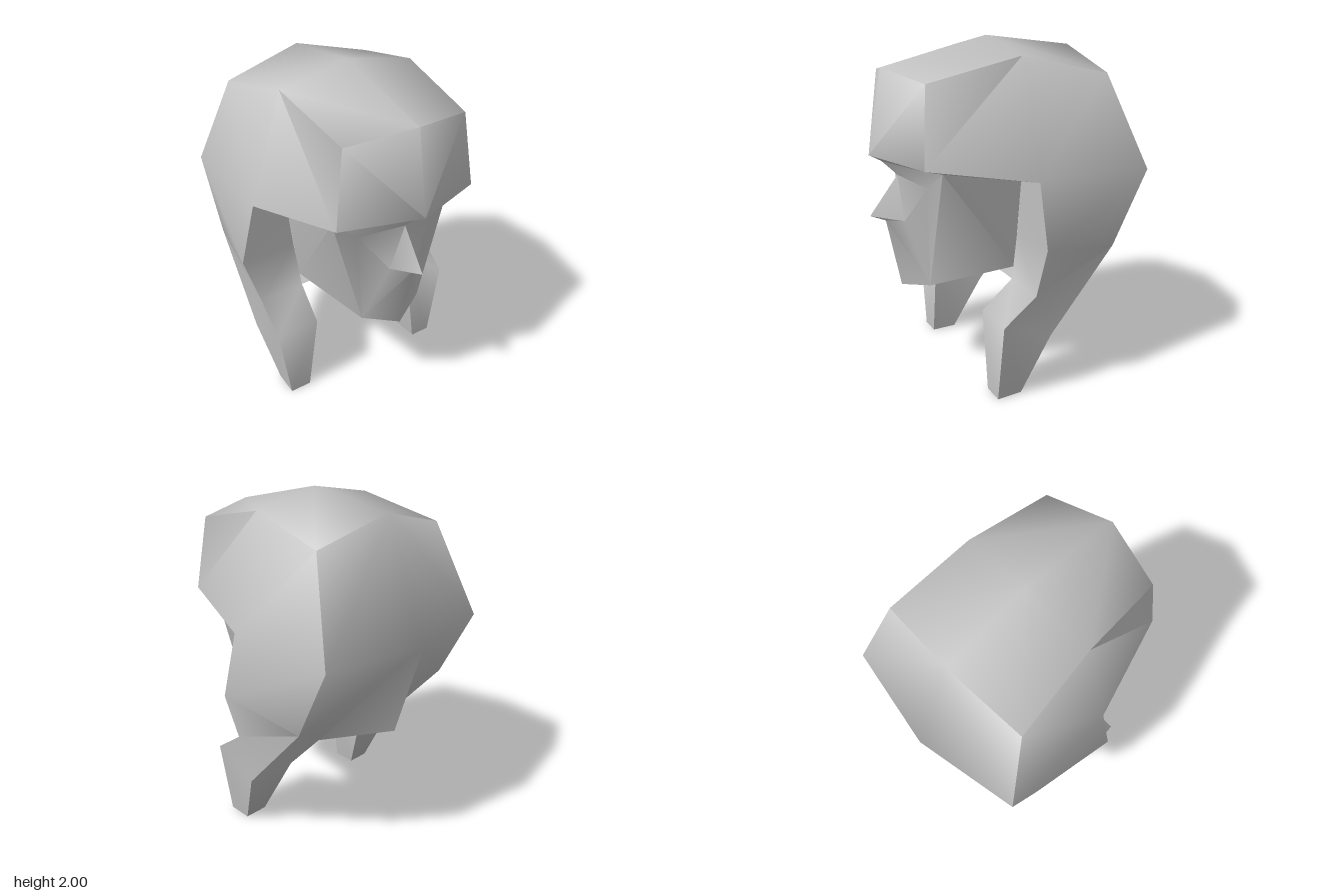
import * as THREE from 'three';
import { toCreasedNormals } from 'three/addons/utils/BufferGeometryUtils.js';

const grey = new THREE.MeshStandardMaterial({ color: 0xc0c0c0, side: THREE.DoubleSide });
grey.name = 'plain grey';

// Hair: c = centre line, s = side ridge, e = outer edge, i = inner edge
const hairPoints = {
  c0: [0, 1.38, 0.77], c1: [0, 1.85, 0.68], c2: [0, 2.0, 0.05],
  c3: [0, 1.93, -0.5], c4: [0, 1.27, -0.78], c5: [0, 0.7, -0.61],
  s0: [0.44, 1.37, 0.62], s1: [0.38, 1.8, 0.58], s2: [0.42, 1.92, 0.05],
  s3: [0.47, 1.81, -0.46], s4: [0.61, 1.27, -0.67],
  temple: [0.61, 1.28, 0.04], e1: [0.7, 0.93, 0.04], e2: [0.61, 0.63, 0.05],
  behind: [0.6, 0.84, -0.46], nape: [0.35, 0.67, -0.35],
  i1: [0.37, 0.93, 0.04], i2: [0.33, 0.63, 0.05], throat: [0, 0.63, 0.05],
  // hanging lock
  lockFront: [0.61, 0.48, 0.25], lockBack: [0.61, 0.37, -0.05],
  innerFront: [0.345, 0.48, 0.25], innerBack: [0.3, 0.36, -0.05],
  tipFront: [0.54, 0, 0.25], tipBack: [0.54, 0.005, 0.1],
  tipInFront: [0.41, 0, 0.25], tipInBack: [0.4, 0.005, 0.1],
};
// Points shared by hairline and face
const rim = { f0: [0, 1.34, 0.7], f1: [0.39, 1.33, 0.5], i0: [0.41, 1.26, 0.04] };
const facePoints = {
  bridge: [0, 1.25, 0.61], noseTip: [0, 1.03, 0.78], noseBase: [0, 0.99, 0.69],
  wing: [0.09, 1.0, 0.61], eye: [0.25, 1.22, 0.53], chin: [0, 0.58, 0.61],
  jaw: [0.2, 0.63, 0.51], jawBack: [0.34, 0.71, 0.04], under: [0, 0.7, 0.04],
};

const hairPanels = [
  // crown and back
  'c0 s0 s1 c1', 'c1 s1 s2 c2', 'c2 s2 s3 c3', 'c3 s3 s4 c4', 'c4 s4 behind nape c5',
  // sides
  's0 temple s2 s1', 'temple s4 s3 s2', 'e1 behind s4 temple', 'e2 lockBack behind e1',
  // lock
  'lockFront tipFront tipBack lockBack e2', 'innerFront tipInFront tipFront lockFront',
  'i2 innerFront lockFront e2', 'behind lockBack innerBack nape',
  'lockBack tipBack tipInBack innerBack', 'nape innerBack i2', 'i2 innerBack innerFront',
  'innerFront innerBack tipInBack tipInFront', 'tipInBack tipBack tipFront tipInFront',
  // edge beside the face, brow underside, nape underside
  'i0 i1 e1 temple', 'i1 i2 e2 e1', 'f0 f1 s0 c0', 'f1 i0 temple s0', 'c5 nape i2 throat',
];
const facePanels = [
  'f0 bridge eye f1', 'bridge wing eye', 'wing jaw eye', 'eye jaw f1', 'f1 jaw jawBack i0',
  'bridge noseTip wing', 'noseTip noseBase wing', 'noseBase chin jaw wing',
  'under jawBack jaw chin',
];

// Fans each panel into triangles and mirrors it to the other side
function mirroredShell(name, points, panels, crease) {
  const pos = [];
  for (const panel of panels) {
    const p = panel.split(' ').map((key) => points[key]);
    for (let k = 1; k < p.length - 1; k++) {
      pos.push(...p[0], ...p[k], ...p[k + 1]);
      for (const [x, y, z] of [p[0], p[k + 1], p[k]]) pos.push(-x, y, z);
    }
  }
  const geo = new THREE.BufferGeometry();
  geo.setAttribute('position', new THREE.Float32BufferAttribute(pos, 3));
  const mesh = new THREE.Mesh(toCreasedNormals(geo, crease), grey);
  mesh.name = name;
  return mesh;
}

export function createModel() {
  const model = new THREE.Group();
  model.name = 'head';
  model.add(
    mirroredShell('hair', { ...hairPoints, ...rim }, hairPanels, 1.2),
    mirroredShell('face', { ...facePoints, ...rim }, facePanels, 1.0),
  );
  return model;
}
